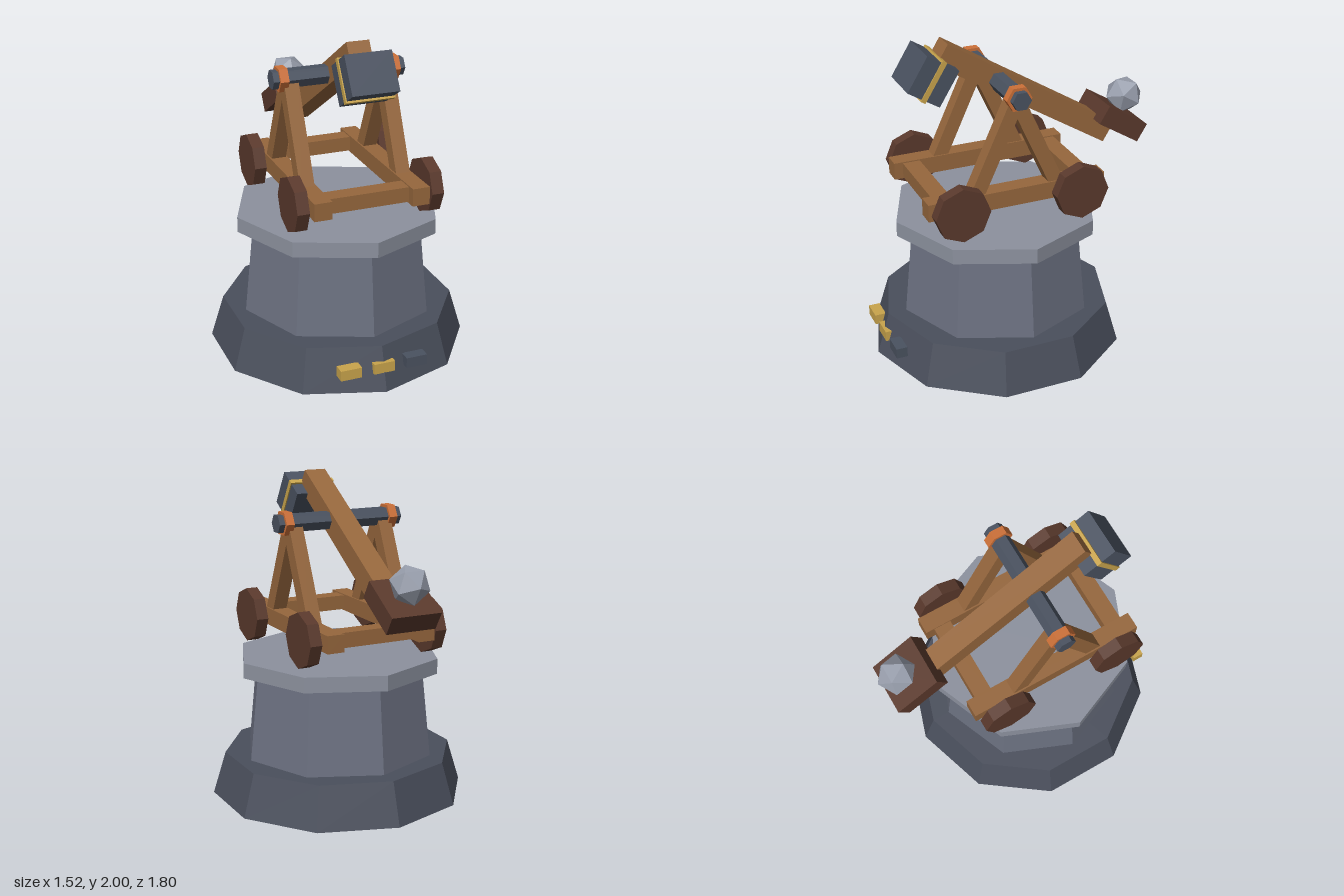
import * as THREE from 'three';

const mat = (name, color) => {
  const m = new THREE.MeshStandardMaterial({ color });
  m.name = name;
  return m;
};

export function createModel() {
  const darkStone = mat('dark stone', 0x4a4f5c);
  const midStone = mat('mid stone', 0x6b7080);
  const paleStone = mat('pale stone', 0x8c919e);
  const wood = mat('wood', 0x96673d);
  const darkWood = mat('dark wood', 0x5a392c);
  const steel = mat('steel', 0x4a5260);
  const gold = mat('gold', 0xc9a44c);
  const copper = mat('copper', 0xcc7038);
  const rock = mat('rock', 0x989eac);

  const model = new THREE.Group();
  model.name = 'catapultOnPedestal';
  const Z = 0.1; // depth of the pedestal and pivot centre

  // Helpers: flat-faced geometry by un-indexing
  const add = (parent, name, geometry, material, x, y, z) => {
    const g = geometry.index ? geometry.toNonIndexed() : geometry;
    g.computeVertexNormals();
    const mesh = new THREE.Mesh(g, material);
    mesh.name = name;
    mesh.position.set(x, y, z);
    parent.add(mesh);
    return mesh;
  };
  const box = (parent, name, [w, h, d], material, x, y, z) =>
    add(parent, name, new THREE.BoxGeometry(w, h, d), material, x, y, z);
  const drum = (name, rTop, rBottom, y0, y1, sides, material) =>
    add(model, name, new THREE.CylinderGeometry(rTop, rBottom, y1 - y0, sides), material, 0, (y0 + y1) / 2, Z);
  const disc = (name, r, width, sides, material, x, y, z) =>
    add(model, name, new THREE.CylinderGeometry(r, r, width, sides).rotateZ(Math.PI / 2), material, x, y, z);

  // Pedestal
  drum('pedestalBase', 0.72, 0.8, 0, 0.265, 10, darkStone);
  drum('pedestalBody', 0.55, 0.605, 0.265, 0.8, 8, midStone);
  drum('pedestalCap', 0.643, 0.643, 0.8, 0.895, 8, paleStone);

  // Level markers on the base
  [[-0.21, gold], [0, gold], [0.207, steel]].forEach(([x, m]) =>
    box(model, 'marker', [0.132, 0.065, 0.07], m, x, 0.143, 0.83));

  // Chassis cross beams
  for (const z of [-0.36, 0.55]) box(model, 'crossBeam', [0.56, 0.092, 0.11], wood, 0, 1.105, z);

  for (const side of [-1, 1]) {
    // Side rail and wheels
    box(model, 'sideRail', [0.108, 0.108, 1.13], wood, side * 0.304, 1.104, 0.095);
    for (const z of [-0.28, 0.48]) disc('wheel', 0.17, 0.075, 8, darkWood, side * 0.418, 1.1, z);

    // Leaning legs of the A-frame
    for (const end of [-1, 1]) {
      const dz = 0.283, dy = 0.615;
      const leg = box(model, 'frameLeg', [0.09, Math.hypot(dz, dy), 0.09], wood,
        side * 0.304, 1.09 + dy / 2, Z + (end * dz) / 2);
      leg.rotation.x = -end * Math.atan2(dz, dy);
    }

    // Collar around the axle
    disc('axleCollar', 0.08, 0.053, 6, copper, side * 0.352, 1.73, Z);
  }
  disc('axle', 0.06, 0.83, 6, steel, 0, 1.73, Z);

  // Throwing arm, tilted about the axle
  const arm = new THREE.Group();
  arm.name = 'throwingArm';
  arm.position.set(0, 1.73, Z);
  arm.rotation.x = -0.55;
  model.add(arm);
  box(arm, 'armBeam', [0.14, 0.14, 1.28], wood, 0, 0, -0.232);
  box(arm, 'bucket', [0.32, 0.125, 0.312], darkWood, 0, 0.095, -0.88);
  add(arm, 'boulder', new THREE.IcosahedronGeometry(0.12, 0), rock, 0, 0.245, -0.88);
  box(arm, 'counterweight', [0.286, 0.24, 0.224], steel, 0, -0.15, 0.411);
  box(arm, 'counterweightBand', [0.3, 0.265, 0.032], gold, 0, -0.15, 0.411);

  return model;
}
